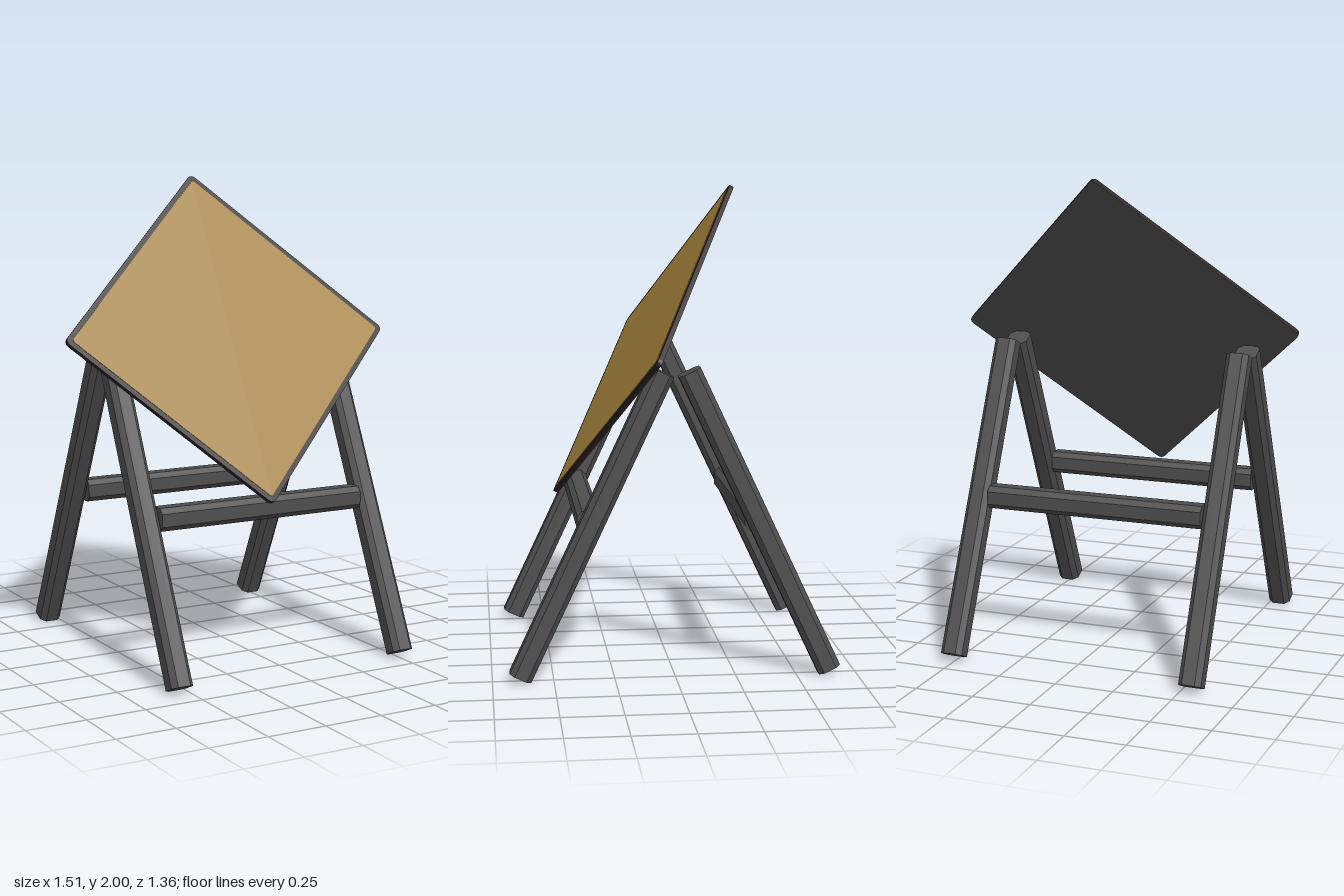
import * as THREE from 'three';

const frameMat = new THREE.MeshStandardMaterial({ name: 'dark grey', color: 0x4e4e4e });
const faceMat = new THREE.MeshStandardMaterial({ name: 'ochre', color: 0xa5823c });
const rimMat = new THREE.MeshStandardMaterial({ name: 'dark brown', color: 0x2e2323 });

// Square of side s with corners cut off by c
function cutSquare(s, c) {
  const h = s / 2, k = h - c;
  return new THREE.Shape([[h, -k], [h, k], [k, h], [-k, h], [-h, k], [-h, -k], [-k, -h], [k, -h]]
    .map(([x, y]) => new THREE.Vector2(x, y)));
}

// Square with rounded corners
function roundSquare(s, r) {
  const k = s / 2 - r, shape = new THREE.Shape();
  [[k, k], [-k, k], [-k, -k], [k, -k]].forEach(([x, y], i) =>
    shape.absarc(x, y, r, i * Math.PI / 2, (i + 1) * Math.PI / 2, false));
  return shape;
}

// Chamfered timber running from a to b
function beam(name, a, b) {
  const from = new THREE.Vector3(...a), to = new THREE.Vector3(...b);
  const geo = new THREE.ExtrudeGeometry(cutSquare(0.096, 0.021), {
    depth: from.distanceTo(to), bevelEnabled: false,
  });
  const mesh = new THREE.Mesh(geo, frameMat);
  mesh.name = name;
  mesh.position.copy(from);
  mesh.lookAt(to);
  return mesh;
}

function slab(name, side, radius, depth, z, material) {
  const geo = new THREE.ExtrudeGeometry(roundSquare(side, radius), {
    depth, bevelEnabled: false, curveSegments: 4,
  });
  const mesh = new THREE.Mesh(geo, material);
  mesh.name = name;
  mesh.position.z = z;
  return mesh;
}

export function createModel() {
  const model = new THREE.Group();
  model.name = 'signStand';

  // Trestle: two leaning legs per side, one crossbar front and back
  for (const [end, s] of [['front', 1], ['back', -1]]) {
    for (const [side, x] of [['Left', 0.51], ['Right', -0.543]]) {
      model.add(beam(`${end}${side}Leg`, [x, 0.023, s * 0.637], [x, 1.267, s * 0.053]));
    }
    const z = s > 0 ? 0.35 : -0.34;
    model.add(beam(`${end}Crossbar`, [-0.49, 0.647, z], [0.462, 0.647, z]));
  }

  // Diamond board leaning back against the front legs
  const board = new THREE.Group();
  board.name = 'board';
  const side = 1.082;
  board.add(
    slab('boardRim', side, 0.024, 0.018, -0.008, rimMat),
    slab('boardFace', side - 0.044, 0.012, 0.002, 0.01, faceMat),
    slab('boardBack', side, 0.024, 0.002, -0.01, frameMat),
  );
  board.position.set(-0.002, 1.341, 0.085);
  board.rotation.set(-Math.PI / 6, 0, Math.PI / 4 - 0.02);
  model.add(board);

  return model;
}
